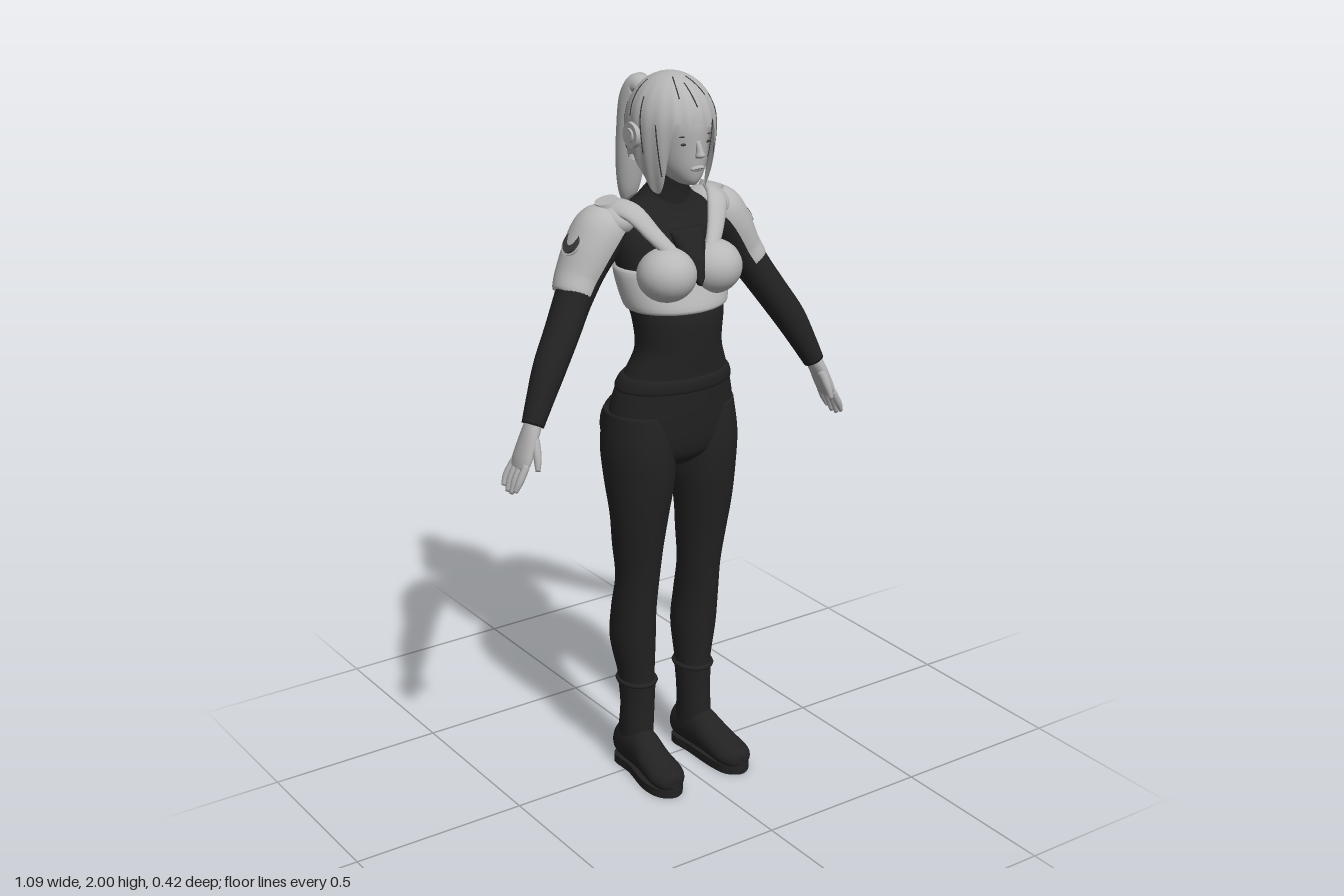
import * as THREE from 'three';
import { RoundedBoxGeometry } from 'three/addons/geometries/RoundedBoxGeometry.js';

const V3 = (x, y, z) => new THREE.Vector3(x, y, z);
const X = V3(1, 0, 0), Y = V3(0, 1, 0), Z = V3(0, 0, 1), DOWN = V3(0, -1, 0);

// Smooth interpolation through rows of numbers, t in 0..1
function sample(rows, t) {
  const n = rows.length - 1, f = Math.min(t, 1) * n, i = Math.min(Math.floor(f), n - 1), k = f - i;
  const at = (j) => rows[Math.max(0, Math.min(n, j))];
  return rows[0].map((_, c) => {
    const a = at(i - 1)[c], b = at(i)[c], d = at(i + 1)[c], e = at(i + 2)[c];
    const m0 = (d - a) / 2, m1 = (e - b) / 2;
    return b + m0 * k + (3 * (d - b) - 2 * m0 - m1) * k * k + (2 * (b - d) + m0 + m1) * k * k * k;
  });
}

// Surface over a grid: j runs around, i runs along
function grid(rows, cols, closed, fn) {
  const pos = [], index = [], stride = closed ? cols : cols + 1;
  for (let i = 0; i <= rows; i++) for (let j = 0; j < stride; j++) pos.push(...fn(i / rows, j / cols).toArray());
  for (let i = 0; i < rows; i++) for (let j = 0; j < cols; j++) {
    const k = closed ? (j + 1) % cols : j + 1;
    const a = i * stride + j, b = i * stride + k, c = a + stride, d = b + stride;
    index.push(a, b, c, b, d, c);
  }
  const g = new THREE.BufferGeometry();
  g.setAttribute('position', new THREE.Float32BufferAttribute(pos, 3));
  g.setIndex(index);
  g.computeVertexNormals();
  return g;
}

// Loft through [x, y, z, radiusU, radiusV]; "along" fixes the ring direction, "arc" leaves it open
function loft(rows, { hint = Z, along = null, arc = null, n = 28, steps = 6 } = {}) {
  const count = (rows.length - 1) * steps;
  const point = (t) => V3(...sample(rows, t).slice(0, 3));
  const frames = [];
  for (let i = 0; i <= count; i++) {
    const t = i / count, s = sample(rows, t);
    const T = along || point(Math.min(1, t + 0.01)).sub(point(Math.max(0, t - 0.01))).normalize();
    const V = hint.clone().addScaledVector(T, -hint.dot(T)).normalize();
    frames.push({ P: V3(s[0], s[1], s[2]), U: V.clone().cross(T), V, ru: Math.max(s[3], 0.0005), rv: Math.max(s[4], 0.0005) });
  }
  if (!arc) for (const end of [0, count]) {
    const cap = { ...frames[end], ru: 0.0002, rv: 0.0002 };
    end ? frames.push(cap) : frames.unshift(cap);
  }
  const [a0, a1] = arc || [0, Math.PI * 2], last = frames.length - 1;
  return grid(last, n, !arc, (t, u) => {
    const f = frames[Math.round(t * last)], a = a0 + (a1 - a0) * u;
    return f.P.clone().addScaledVector(f.U, Math.cos(a) * f.ru).addScaledVector(f.V, Math.sin(a) * f.rv);
  });
}

const ring = (y, w, front, back) => [0, y, (front + back) / 2, w, (front - back) / 2];
const ball = (x, y, z, rx, ry, rz) => new THREE.SphereGeometry(1, 32, 20).scale(rx, ry, rz).translate(x, y, z);

// Round plate facing a direction
function disc(p, dir, r, h) {
  const g = new THREE.CylinderGeometry(r * 0.9, r, h, 28);
  return g.applyQuaternion(new THREE.Quaternion().setFromUnitVectors(Y, dir.clone().normalize())).translate(...p);
}

function mirrored(g) {
  const m = g.clone().scale(-1, 1, 1), ix = m.index.array;
  for (let i = 0; i < ix.length; i += 3) [ix[i], ix[i + 1]] = [ix[i + 1], ix[i]];
  return m;
}

// Lower hair edge by angle from the front: fringe, long side locks, ear gap, nape
const edgeRows = [1.885, 1.87, 1.88, 1.72, 1.70, 1.745, 1.79, 1.78, 1.765, 1.755, 1.75, 1.75].map((y) => [y]);
function hairPoint(a, v, lift = 1) {
  const wrapped = Math.abs(Math.atan2(Math.sin(a), Math.cos(a)));
  const edge = sample(edgeRows, wrapped / Math.PI)[0];
  const end = edge > 1.87 ? Math.acos((edge - 1.87) / 0.13) : Math.PI / 2 + (1.87 - edge) / 0.13;
  const phi = v * end, low = Math.max(0, phi - Math.PI / 2);
  const y = low ? 1.87 - 0.13 * low : 1.87 + 0.13 * Math.cos(phi);
  const r = (low ? 1 - 0.13 * low * low : Math.sin(phi)) * (1 + 0.014 * Math.sin(19 * a) * v) * lift;
  return V3(Math.sin(a) * 0.113 * r, y, 0.015 + Math.cos(a) * 0.127 * r);
}

export function createModel() {
  const root = new THREE.Group();
  root.name = 'armouredWoman';
  const flat = (name, color) => Object.assign(new THREE.MeshStandardMaterial({ color, side: THREE.DoubleSide }), { name });
  const suit = flat('black suit', 0x222222), armour = flat('pale armour', 0xb8b8b8);
  const skin = flat('skin', 0xb2b2b2), hair = flat('hair', 0xb5b5b5), detail = flat('dark detail', 0x3a3a3a);
  const add = (name, g, m) => {
    const mesh = new THREE.Mesh(g, m);
    mesh.name = name;
    root.add(mesh);
  };
  const pair = (name, g, m) => { add(name + 'Left', g, m); add(name + 'Right', mirrored(g), m); };
  const upright = { along: Y, n: 40 };

  // Torso and neck
  add('torso', loft([
    ring(0.93, 0.06, 0.06, -0.05), ring(0.96, 0.15, 0.1, -0.08), ring(1.0, 0.19, 0.12, -0.095),
    ring(1.08, 0.19, 0.132, -0.1), ring(1.16, 0.172, 0.138, -0.09), ring(1.22, 0.146, 0.142, -0.06),
    ring(1.28, 0.125, 0.147, -0.045), ring(1.36, 0.132, 0.15, -0.055), ring(1.42, 0.145, 0.135, -0.08),
    ring(1.5, 0.155, 0.115, -0.1), ring(1.58, 0.165, 0.09, -0.105), ring(1.63, 0.145, 0.062, -0.098),
    ring(1.67, 0.085, 0.047, -0.075), ring(1.7, 0.058, 0.045, -0.055)], upright), suit);
  add('waistband', loft([ring(1.165, 0.173, 0.142, -0.09), ring(1.175, 0.172, 0.145, -0.09),
    ring(1.195, 0.163, 0.146, -0.08), ring(1.205, 0.153, 0.142, -0.07)], { ...upright, steps: 2 }), suit);
  add('neck', loft([[0, 1.62, -0.005, 0.075, 0.055], [0, 1.68, 0, 0.062, 0.052],
    [0, 1.73, 0.006, 0.058, 0.05], [0, 1.79, 0.012, 0.055, 0.05]], upright), suit);

  // Hips and legs
  pair('buttock', ball(0.085, 1.045, -0.045, 0.095, 0.095, 0.075), suit);
  pair('leg', loft([[0.098, 1.1, 0.008, 0.09, 0.105], [0.1025, 1.0, 0.008, 0.098, 0.115],
    [0.102, 0.9, 0.012, 0.094, 0.106], [0.106, 0.8, 0.018, 0.081, 0.085], [0.106, 0.7, 0.01, 0.07, 0.075],
    [0.104, 0.6, 0.004, 0.06, 0.066], [0.106, 0.5, -0.012, 0.06, 0.071], [0.104, 0.4, -0.022, 0.061, 0.073],
    [0.098, 0.3, -0.016, 0.05, 0.06], [0.096, 0.22, -0.01, 0.044, 0.051]], { along: DOWN }), suit);

  // Boots: shaft, cuff, foot and sole
  pair('bootShaft', loft([[0.097, 0.28, -0.013, 0.051, 0.06], [0.097, 0.2, -0.01, 0.047, 0.053],
    [0.1, 0.13, -0.012, 0.046, 0.057], [0.1, 0.06, -0.02, 0.046, 0.06]], { along: DOWN }), suit);
  pair('bootCuff', new THREE.TorusGeometry(0.05, 0.007, 8, 32).rotateX(Math.PI / 2).scale(1, 1, 1.17).translate(0.097, 0.275, -0.013), suit);
  pair('foot', loft([[0.1, 0.06, -0.085, 0.025, 0.04], [0.1, 0.065, -0.07, 0.042, 0.055], [0.102, 0.075, -0.03, 0.047, 0.07],
    [0.105, 0.07, 0.04, 0.047, 0.063], [0.11, 0.056, 0.1, 0.051, 0.045], [0.113, 0.046, 0.16, 0.053, 0.034],
    [0.115, 0.042, 0.195, 0.038, 0.028], [0.115, 0.04, 0.208, 0.015, 0.014]], { hint: Y, along: Z }), suit);
  const soleShape = new THREE.Shape(new THREE.SplineCurve([[0.1, 0.09], [0.145, 0.06], [0.148, -0.02], [0.166, -0.12],
    [0.155, -0.185], [0.115, -0.212], [0.075, -0.185], [0.062, -0.12], [0.06, -0.02], [0.057, 0.06], [0.1, 0.09]]
    .map((p) => new THREE.Vector2(...p))).getPoints(50));
  const sole = new THREE.ExtrudeGeometry(soleShape, { depth: 0.025, bevelEnabled: false }).rotateX(-Math.PI / 2);
  sole.setIndex([...Array(sole.attributes.position.count).keys()]);
  pair('sole', sole, suit);

  // Arms and hands
  pair('arm', loft([[0.13, 1.62, -0.03, 0.05, 0.06], [0.18, 1.585, -0.03, 0.063, 0.064], [0.235, 1.515, -0.028, 0.057, 0.06],
    [0.29, 1.43, -0.012, 0.049, 0.053], [0.335, 1.36, 0.008, 0.046, 0.05], [0.39, 1.275, 0.03, 0.044, 0.044],
    [0.43, 1.2, 0.045, 0.036, 0.037], [0.46, 1.14, 0.056, 0.029, 0.031]]), suit);
  pair('palm', loft([[0.453, 1.155, 0.055, 0.022, 0.025], [0.475, 1.11, 0.06, 0.02, 0.034],
    [0.497, 1.06, 0.062, 0.017, 0.04], [0.508, 1.035, 0.062, 0.012, 0.037]]), skin);
  for (let k = 0; k < 4; k++) {
    const long = k === 1 || k === 2 ? 0.01 : 0;
    pair('finger' + k, loft([[0.502, 1.05, 0.033 + 0.0195 * k, 0.01, 0.01], [0.524, 1.01, 0.027 + 0.022 * k, 0.01, 0.01],
      [0.537, 0.982 - long, 0.03 + 0.02 * k, 0.006, 0.006]], { n: 10, steps: 4 }), skin);
  }
  pair('thumb', loft([[0.47, 1.11, 0.08, 0.013, 0.014], [0.476, 1.07, 0.103, 0.011, 0.011], [0.482, 1.035, 0.114, 0.006, 0.006]],
    { n: 10, steps: 4 }), skin);

  // Chest and back armour
  add('ribBand', loft([ring(1.385, 0.136, 0.15, -0.068), ring(1.395, 0.148, 0.158, -0.082), ring(1.44, 0.158, 0.142, -0.097),
    ring(1.49, 0.163, 0.122, -0.108), ring(1.5, 0.152, 0.11, -0.098)], { ...upright, steps: 3 }), armour);
  pair('breastPlate', ball(0.073, 1.49, 0.103, 0.08, 0.073, 0.079), armour);
  add('sternumGap', loft([[0, 1.6, 0.088, 0.055, 0.02], [0, 1.53, 0.118, 0.036, 0.03], [0, 1.485, 0.14, 0.02, 0.018],
    [0, 1.46, 0.15, 0.004, 0.01]], { along: DOWN, n: 20 }), suit);
  pair('chestStrap', loft([[0.165, 1.66, -0.03, 0.03, 0.013], [0.135, 1.65, 0.035, 0.03, 0.014], [0.095, 1.59, 0.085, 0.024, 0.014],
    [0.05, 1.53, 0.125, 0.018, 0.014], [0.03, 1.5, 0.145, 0.012, 0.01]], { hint: V3(0, 0.55, 0.85), n: 16 }), armour);
  add('backPlate', loft([ring(1.48, 0.163, 0.12, -0.107), ring(1.54, 0.168, 0.1, -0.113), ring(1.6, 0.165, 0.085, -0.112),
    ring(1.64, 0.145, 0.06, -0.104), ring(1.665, 0.1, 0.045, -0.086)],
    { along: Y, arc: [-Math.PI / 2 - 0.72, -Math.PI / 2 + 0.72] }), armour);
  add('spinePlate', new RoundedBoxGeometry(0.05, 0.22, 0.03, 3, 0.01).translate(0, 1.52, -0.106), armour);
  pair('backKnob', disc([0.075, 1.47, -0.097], V3(0.3, 0, -1), 0.022, 0.014), armour);

  // Shoulder armour
  pair('shoulderYoke', ball(0.15, 1.622, -0.035, 0.062, 0.048, 0.076), armour);
  pair('shoulderGuard', loft([[0.145, 1.618, -0.036, 0.05, 0.066], [0.18, 1.595, -0.037, 0.074, 0.077],
    [0.215, 1.55, -0.037, 0.072, 0.078], [0.255, 1.485, -0.034, 0.062, 0.07], [0.28, 1.445, -0.022, 0.056, 0.062],
    [0.285, 1.437, -0.02, 0.05, 0.055]], { arc: [-1.75, 1.75] }), armour);
  const outward = V3(0.83, 0.55, 0);
  pair('guardRim', disc([0.268, 1.572, -0.036], outward, 0.042, 0.018), armour);
  pair('guardDisc', disc([0.275, 1.577, -0.036], outward, 0.034, 0.009), detail);
  pair('shoulderCap', disc([0.168, 1.667, -0.035], V3(0.3, 1, 0), 0.034, 0.014), armour);

  // Head and face
  add('head', loft([ring(1.722, 0.02, 0.122, 0.05), ring(1.738, 0.04, 0.132, 0.01), ring(1.77, 0.06, 0.138, -0.03),
    ring(1.82, 0.074, 0.14, -0.07), ring(1.88, 0.08, 0.138, -0.08), ring(1.94, 0.068, 0.115, -0.065)], upright), skin);
  add('nose', loft([[0, 1.84, 0.136, 0.007, 0.006], [0, 1.815, 0.145, 0.009, 0.011], [0, 1.803, 0.148, 0.013, 0.013],
    [0, 1.796, 0.142, 0.01, 0.007]], { along: DOWN, n: 14 }), skin);
  add('lips', ball(0, 1.768, 0.136, 0.021, 0.008, 0.008), skin);
  add('mouthLine', ball(0, 1.768, 0.142, 0.015, 0.001, 0.003), detail);
  pair('eye', ball(0.032, 1.832, 0.126, 0.014, 0.004, 0.004), detail);
  pair('brow', ball(0.033, 1.852, 0.125, 0.018, 0.002, 0.004), detail);

  // Hair with thin dark partings
  add('hairCap', grid(30, 152, true, (v, u) => hairPoint(-2 * Math.PI * u, v)), hair);
  for (let k = 0; k < 14; k++) {
    const a = 0.35 + k * 2 * Math.PI / 14, start = 0.25 + 0.13 * (k % 3);
    const pts = [0, 1, 2, 3, 4].map((i) => hairPoint(a + 0.03 * i, start + 0.1 * i, 1.004));
    add('hairParting' + k, new THREE.TubeGeometry(new THREE.CatmullRomCurve3(pts), 12, 0.0018, 5), detail);
  }
  pair('earDisc', disc([0.113, 1.845, 0.006], X, 0.036, 0.018), hair);
  pair('earHub', disc([0.122, 1.845, 0.006], X, 0.02, 0.01), hair);
  add('hairTie', new THREE.TorusGeometry(0.024, 0.009, 10, 24).translate(0, 1.92, -0.112), detail);
  add('ponytail', loft([[0, 1.91, -0.095, 0.022, 0.022], [0, 1.94, -0.128, 0.032, 0.034], [0, 1.9, -0.152, 0.04, 0.043],
    [0, 1.82, -0.164, 0.038, 0.045], [0, 1.73, -0.175, 0.034, 0.042], [0, 1.65, -0.185, 0.024, 0.03],
    [0, 1.6, -0.195, 0.006, 0.008]], { hint: X }), hair);
  return root;
}
